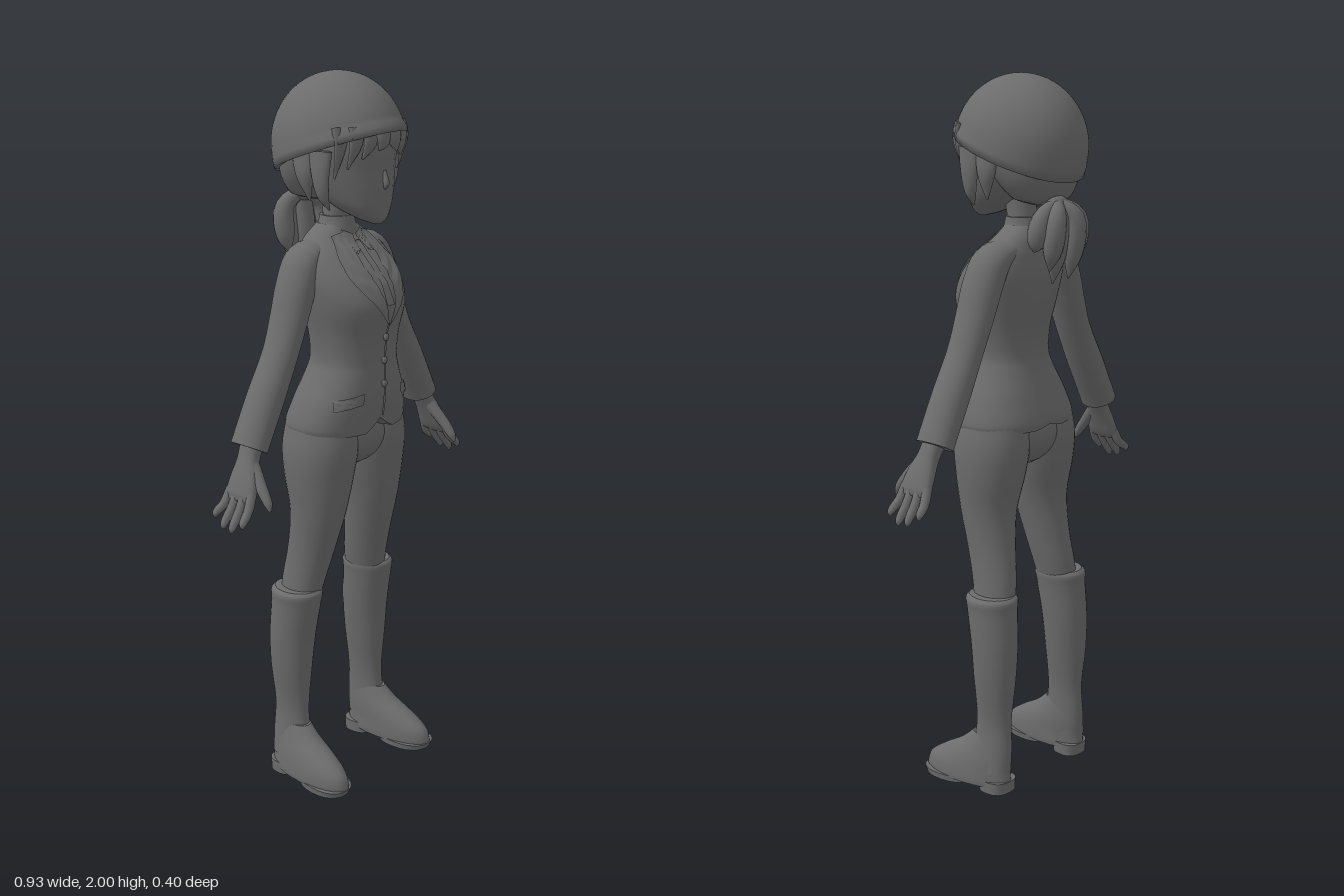
import * as THREE from 'three';

const grey = new THREE.MeshStandardMaterial({ color: 0x6c6c6c, side: THREE.DoubleSide });
grey.name = 'plain grey';

// smooth list of cross-sections [x, y, z, a, b] from a few key ones
function sample(secs, steps) {
  const c = new THREE.CatmullRomCurve3(secs.map(s => new THREE.Vector3(s[0], s[1], s[2])));
  const r = new THREE.CatmullRomCurve3(secs.map(s => new THREE.Vector3(s[3], s[4], s[1])));
  const n = (secs.length - 1) * steps;
  return Array.from({ length: n + 1 }, (_, i) => {
    const p = c.getPoint(i / n), q = r.getPoint(i / n);
    return [p.x, p.y, p.z, Math.max(q.x, 0.001), Math.max(q.y, 0.001)];
  });
}

function build(pos, idx) {
  const g = new THREE.BufferGeometry();
  g.setAttribute('position', new THREE.Float32BufferAttribute(pos, 3));
  g.setIndex(idx);
  g.computeVertexNormals();
  return g;
}

// closed skin over cross-sections, level (rings flat in y) or across the path
function loft(secs, { n = 24, steps = 4, p = 2, level = false, warp } = {}) {
  const S = sample(secs, steps), pos = [], idx = [], m = S.length;
  const at = i => new THREE.Vector3(...S[Math.min(Math.max(i, 0), m - 1)].slice(0, 3));
  const pw = v => Math.sign(v) * Math.pow(Math.abs(v), 2 / p);
  S.forEach((s, i) => {
    const T = at(i + 1).sub(at(i - 1)).normalize();
    if (level) T.set(0, Math.sign(T.y) || 1, 0);
    const V = new THREE.Vector3(0, 0, 1);
    V.addScaledVector(T, -V.dot(T)).normalize();
    const U = V.clone().cross(T);
    for (let j = 0; j < n; j++) {
      const t = j / n * Math.PI * 2;
      const q = at(i).addScaledVector(U, s[3] * pw(Math.cos(t))).addScaledVector(V, s[4] * pw(Math.sin(t)));
      if (warp) warp(q);
      pos.push(q.x, q.y, q.z);
    }
  });
  for (let i = 0; i < m - 1; i++) for (let j = 0; j < n; j++) {
    const a = i * n + j, b = i * n + (j + 1) % n;
    idx.push(a, b, a + n, b, b + n, a + n);
  }
  // end caps with their own corners, so the edges stay crisp
  for (const end of [0, m - 1]) {
    const k = pos.length / 3;
    pos.push(...at(end).toArray(), ...pos.slice(end * n * 3, (end + 1) * n * 3));
    for (let j = 0; j < n; j++) {
      const a = k + 1 + j, b = k + 1 + (j + 1) % n;
      end ? idx.push(k, a, b) : idx.push(k, b, a);
    }
  }
  return build(pos, idx);
}

const JACKET = [
  [0, 1.045, 0.025, 0.183, 0.128], [0, 1.065, 0.025, 0.187, 0.13], [0, 1.13, 0.038, 0.168, 0.125],
  [0, 1.2, 0.05, 0.134, 0.114], [0, 1.24, 0.054, 0.12, 0.109], [0, 1.31, 0.055, 0.124, 0.113],
  [0, 1.4, 0.052, 0.143, 0.13], [0, 1.47, 0.03, 0.152, 0.117], [0, 1.53, 0.005, 0.14, 0.085],
  [0, 1.57, -0.01, 0.095, 0.06], [0, 1.6, -0.01, 0.052, 0.046],
];
const jacketRows = sample(JACKET, 6);
function frontZ(x, y) {
  const s = jacketRows.reduce((a, b) => Math.abs(b[1] - y) < Math.abs(a[1] - y) ? b : a);
  const k = Math.min(Math.abs(x) / s[3], 0.98);
  return s[2] + s[4] * Math.pow(1 - Math.pow(k, 2.3), 1 / 2.3);
}

// thin cloth panel lying on the jacket between two edges of [x, y] points
function panel(e1, e2, s, off = 0.007) {
  const line = e => new THREE.SplineCurve(e.map(q => new THREE.Vector2(...q)));
  const A = line(e1), B = line(e2), nu = 16, nv = 6, pos = [], idx = [];
  for (let i = 0; i <= nu; i++) for (let j = 0; j <= nv; j++) {
    const q = A.getPoint(i / nu).lerp(B.getPoint(i / nu), j / nv);
    pos.push(q.x * s, q.y, frontZ(q.x, q.y) + off);
    if (i < nu && j < nv) {
      const a = i * (nv + 1) + j, b = a + 1, c = a + nv + 1, d = c + 1;
      s > 0 ? idx.push(a, c, b, b, c, d) : idx.push(a, b, c, b, d, c);
    }
  }
  return build(pos, idx);
}

// tilted dome cut along the brim, closed underneath
function helmetGeometry() {
  const n = 48, rows = 20, pos = [], idx = [];
  for (let i = 0; i <= rows + 2; i++) for (let j = 0; j < n; j++) {
    const f = j / n * Math.PI * 2, top = Math.acos((-0.015 + 0.068 * Math.sin(f)) / 0.19);
    const t = top * Math.min(i / rows, 1);
    const lip = i >= rows - 1 ? 1 + 0.035 * Math.max(0, Math.sin(f)) + 0.01 : 1;
    const k = i === rows + 1 ? 0.9 : i === rows + 2 ? 0.01 : lip;
    pos.push(0.168 * k * Math.sin(t) * Math.cos(f), 1.81 + 0.19 * Math.cos(t) - (i === rows ? 0.006 : 0),
      0.19 * k * Math.sin(t) * Math.sin(f));
    if (i < rows + 2) {
      const a = i * n + j, b = i * n + (j + 1) % n;
      idx.push(a, b, a + n, b, b + n, a + n);
    }
  }
  return build(pos, idx);
}

export function createModel() {
  const root = new THREE.Group();
  const add = (name, g) => {
    const m = new THREE.Mesh(g, grey);
    m.name = name;
    root.add(m);
    return m;
  };
  const ball = (name, x, y, z, rx, ry, rz) => {
    const m = add(name, new THREE.SphereGeometry(1, 20, 14));
    m.position.set(x, y, z);
    m.scale.set(rx, ry, rz);
  };
  const flip = (secs, s) => secs.map(q => [q[0] * s, ...q.slice(1)]);

  // head, neck and helmet
  add('helmet', helmetGeometry());
  add('head', loft([
    [0, 1.613, 0.135, 0.012, 0.012], [0, 1.625, 0.118, 0.038, 0.04], [0, 1.66, 0.08, 0.08, 0.082],
    [0, 1.71, 0.045, 0.108, 0.118], [0, 1.76, 0.025, 0.126, 0.136], [0, 1.82, 0.015, 0.136, 0.146],
    [0, 1.9, 0, 0.125, 0.13], [0, 1.95, 0, 0.07, 0.07]], { level: true, n: 32 }));
  add('nose', loft([[0, 1.755, 0.158, 0.006, 0.006], [0, 1.72, 0.166, 0.008, 0.009],
    [0, 1.705, 0.158, 0.005, 0.005]], { level: true, n: 12 }));
  add('neck', loft([[0, 1.52, -0.012, 0.05, 0.045], [0, 1.6, -0.006, 0.041, 0.04],
    [0, 1.69, 0.005, 0.043, 0.046]], { level: true }));

  // hair under the helmet, fringe, side locks and ponytail
  add('backHair', loft([[0, 1.658, -0.07, 0.03, 0.03], [0, 1.675, -0.07, 0.085, 0.07],
    [0, 1.72, -0.058, 0.122, 0.1], [0, 1.78, -0.035, 0.142, 0.13], [0, 1.86, -0.01, 0.14, 0.14]], { level: true, n: 32 }));
  const fringe = [[-0.115, -0.125, 1.74], [-0.085, -0.105, 1.765], [-0.05, -0.075, 1.79], [-0.012, -0.03, 1.81],
    [0.025, 0.045, 1.8], [0.06, 0.085, 1.785], [0.092, 0.112, 1.76], [0.118, 0.126, 1.74]];
  const brow = x => 0.022 + 0.148 * Math.sqrt(1 - (x / 0.145) ** 2);
  fringe.forEach(([x0, x1, y]) => add('fringeLock', loft([[x0, 1.87, brow(x0) - 0.008, 0.026, 0.012],
    [(x0 * 2 + x1) / 3, 1.83, brow(x0), 0.022, 0.011], [x1, y, brow(x1), 0.002, 0.003]], { n: 12 })));
  for (const s of [1, -1]) {
    add('sideLock', loft(flip([[0.138, 1.81, 0.06, 0.014, 0.04], [0.14, 1.74, 0.062, 0.014, 0.028],
      [0.132, 1.69, 0.065, 0.011, 0.018], [0.114, 1.655, 0.07, 0.002, 0.003]], s), { n: 14 }));
    add('earLock', loft(flip([[0.138, 1.8, 0, 0.014, 0.04], [0.138, 1.74, 0.005, 0.015, 0.028],
      [0.125, 1.675, 0.012, 0.002, 0.003]], s), { n: 14 }));
  }
  ball('hairTie', 0.015, 1.665, -0.135, 0.035, 0.024, 0.026);
  [[-0.045, 1.5, -0.15], [-0.012, 1.465, -0.165], [0.028, 1.452, -0.14], [0.062, 1.49, -0.155], [0.085, 1.54, -0.12]]
    .forEach(([x, y, z]) => add('ponytailStrand', loft([[0.015, 1.67, -0.14, 0.016, 0.014],
      [x * 0.85, 1.63, z - 0.012, 0.026, 0.026], [x, (1.6 + y) / 2, z - 0.005, 0.026, 0.026],
      [x * 0.9, y, z + 0.01, 0.002, 0.002]], { n: 14 })));

  // jacket with a cutaway hem
  add('jacket', loft(JACKET, {
    level: true, n: 48, steps: 6, p: 2.3,
    warp: q => { if (q.y < 1.12) q.y += 0.035 * Math.max(0, 1 - Math.abs(q.x) / 0.05) * (1.12 - q.y) / 0.075 * (q.z > 0 ? 1 : 0.3); },
  }));
  add('collar', loft([[0, 1.565, -0.008, 0.075, 0.058], [0, 1.6, -0.006, 0.052, 0.05],
    [0, 1.622, -0.006, 0.047, 0.046]], { level: true }));
  for (const s of [1, -1]) {
    add('lapel', panel([[0.03, 1.585], [0.036, 1.52], [0.026, 1.44], [0.002, 1.35]],
      [[0.07, 1.575], [0.1, 1.5], [0.08, 1.44], [0.004, 1.345]], s));
    add('pocketFlap', panel([[0.075, 1.165], [0.145, 1.15]], [[0.077, 1.135], [0.15, 1.12]], s));
    add('shirtCollar', panel([[0.004, 1.575], [0.016, 1.535]], [[0.038, 1.59], [0.034, 1.53]], s, 0.009));
    add('tie', panel([[0, 1.56], [0, 1.5], [0, 1.4]], [[0.012, 1.56], [0.011, 1.5], [0.015, 1.4]], s, 0.006));
  }
  add('frontEdge', panel([[-0.004, 1.35], [-0.004, 1.09]], [[0.004, 1.35], [0.004, 1.09]], 1, 0.004));
  [1.31, 1.245, 1.18].forEach(y => ball('button', 0, y, frontZ(0, y) + 0.003, 0.01, 0.01, 0.006));

  // trousers seat
  ball('trouserSeat', 0, 1.02, 0.02, 0.17, 0.1, 0.108);

  for (const s of [1, -1]) {
    // sleeve
    add('sleeve', loft(flip([[0.08, 1.54, -0.012, 0.03, 0.05], [0.132, 1.512, -0.008, 0.046, 0.056],
      [0.165, 1.45, -0.004, 0.05, 0.058], [0.195, 1.37, -0.002, 0.046, 0.056], [0.232, 1.28, 0, 0.044, 0.052],
      [0.29, 1.17, 0, 0.048, 0.054], [0.335, 1.085, 0, 0.046, 0.055], [0.354, 1.048, 0, 0.045, 0.056]], s)));
    // hand
    add('palm', loft(flip([[0.345, 1.065, 0.004, 0.028, 0.032], [0.368, 1.02, 0.01, 0.024, 0.032],
      [0.388, 0.98, 0.016, 0.022, 0.044], [0.408, 0.935, 0.02, 0.018, 0.05], [0.416, 0.92, 0.02, 0.01, 0.04]], s), { p: 2.4 }));
    [[0.058, 0.07, 0.865], [0.033, 0.036, 0.846], [0.007, 0.004, 0.85], [-0.019, -0.032, 0.872]].forEach(([z0, z1, y]) =>
      add('finger', loft(flip([[0.405, 0.945, z0, 0.013, 0.014], [0.425, 0.905, (z0 + z1) / 2, 0.013, 0.013],
        [0.458 - (y - 0.846) * 0.3, y + 0.012, z1, 0.01, 0.01], [0.46 - (y - 0.846) * 0.3, y, z1, 0.003, 0.003]], s), { n: 12 })));
    add('thumb', loft(flip([[0.37, 1.01, 0.03, 0.018, 0.018], [0.382, 0.965, 0.068, 0.016, 0.016],
      [0.388, 0.925, 0.1, 0.012, 0.012], [0.39, 0.905, 0.11, 0.004, 0.004]], s), { n: 14 }));

    // leg
    add('trouserLeg', loft(flip([[0.095, 1.07, 0.022, 0.088, 0.105], [0.1, 1.0, 0.022, 0.097, 0.112],
      [0.105, 0.92, 0.022, 0.092, 0.102], [0.112, 0.81, 0.024, 0.074, 0.082], [0.12, 0.7, 0.006, 0.06, 0.072],
      [0.132, 0.6, -0.014, 0.053, 0.066], [0.145, 0.52, -0.022, 0.048, 0.058]], s), { level: true, n: 32 }));
    // riding boot
    add('bootShaft', loft(flip([[0.151, 0.582, -0.02, 0.058, 0.068], [0.152, 0.572, -0.021, 0.068, 0.077],
      [0.153, 0.54, -0.023, 0.066, 0.075], [0.157, 0.44, -0.034, 0.062, 0.07], [0.16, 0.34, -0.037, 0.054, 0.065],
      [0.161, 0.21, -0.035, 0.038, 0.056], [0.164, 0.13, -0.033, 0.039, 0.062], [0.168, 0.06, -0.033, 0.042, 0.06]], s), { level: true, n: 28 }));
    const toeOut = q => { q.x += s * 0.06 * (q.z - 0.05); };
    add('bootFoot', loft(flip([[0.166, 0.165, -0.025, 0.034, 0.058], [0.168, 0.13, -0.008, 0.042, 0.082],
      [0.171, 0.095, 0.02, 0.05, 0.114], [0.174, 0.06, 0.045, 0.055, 0.138], [0.175, 0.03, 0.05, 0.057, 0.145],
      [0.175, 0.018, 0.05, 0.056, 0.144]], s), { level: true, n: 32, warp: toeOut }));
    add('bootSole', loft(flip([[0.176, 0.022, 0.11, 0.058, 0.086], [0.176, 0.004, 0.108, 0.056, 0.08]], s),
      { level: true, p: 2.3, warp: toeOut }));
    add('bootHeel', loft(flip([[0.172, 0.035, -0.05, 0.047, 0.047], [0.172, 0, -0.05, 0.046, 0.045]], s),
      { level: true, p: 2.6, warp: toeOut }));
  }
  return root;
}
